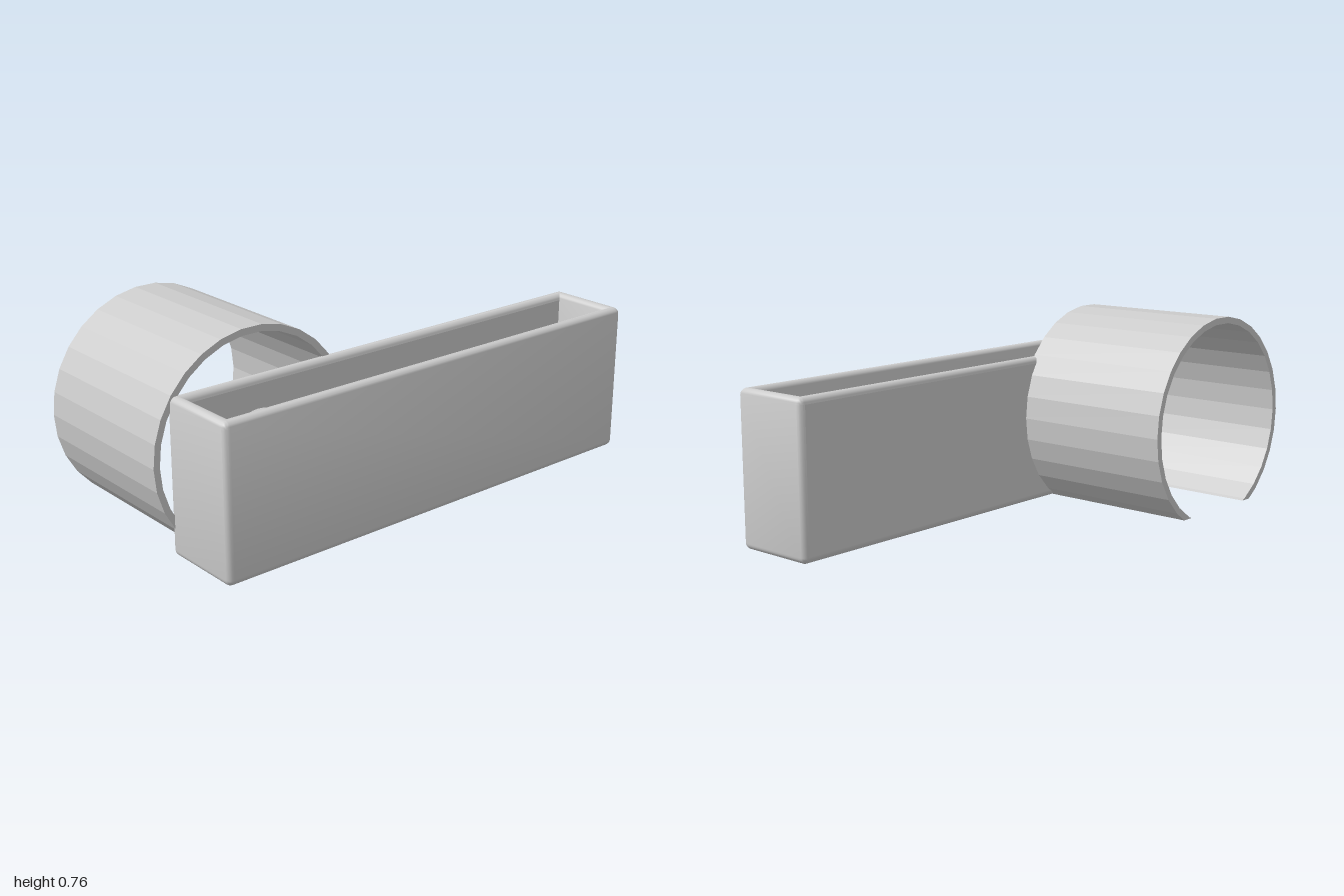
import * as THREE from 'three';
import { toCreasedNormals } from 'three/addons/utils/BufferGeometryUtils.js';

const HX = 0.9625, HZ = 0.165, H = 0.585, R = 0.025, WALL = 0.05; // trough
const RING = { x: -0.583, y: 0.346, outer: 0.417, inner: 0.392, back: -0.485, front: 0.178 };
const HOLE = { x: RING.x - 0.0375, y: 0.34, r: 0.13 };
const STEPS = 5;

// Rounded rectangle at a given inset from the outer wall; corners turn sharp once inset passes R.
function loopAt(inset, y) {
  const pts = [], rad = Math.max(R - inset, 0), m = Math.max(R, inset);
  const signs = [[1, 1], [-1, 1], [-1, -1], [1, -1]];
  signs.forEach(([sx, sz], c) => {
    for (let k = 0; k <= STEPS; k++) {
      const a = (c + k / STEPS) * Math.PI / 2;
      pts.push(new THREE.Vector3(sx * (HX - m) + rad * Math.cos(a), y, sz * (HZ - m) + rad * Math.sin(a)));
    }
  });
  return pts;
}

function troughGeometry() {
  // profile: underside, outer wall, rounded rim, inner wall, floor
  const profile = [[HZ, 0]];
  const arc = (inset, y, from, to, n) => {
    for (let k = 0; k <= n; k++) {
      const a = from + (to - from) * k / n;
      profile.push([inset - R * Math.cos(a), y + R * Math.sin(a)]);
    }
  };
  arc(R, R, -Math.PI / 2, 0, STEPS);
  arc(R, H - R, 0, Math.PI, STEPS * 2);
  profile.push([WALL, WALL], [HZ, WALL]);

  const rows = profile.map(([inset, y]) => loopAt(inset, y));
  const n = rows[0].length, backSide = 3 * (STEPS + 1) - 1, pos = [];
  const tri = (a, b, c) => {
    if (new THREE.Triangle(a, b, c).getArea() > 1e-9) for (const p of [a, b, c]) pos.push(p.x, p.y, p.z);
  };
  for (let i = 0; i < rows.length - 1; i++) {
    const isWall = Math.abs(profile[i][1] - profile[i + 1][1]) > 0.3;
    for (let j = 0; j < n; j++) {
      if (isWall && j === backSide) continue; // the back wall is pierced, added separately
      const k = (j + 1) % n;
      tri(rows[i][j], rows[i + 1][j], rows[i + 1][k]);
      tri(rows[i][j], rows[i + 1][k], rows[i][k]);
    }
  }
  const geo = new THREE.BufferGeometry();
  geo.setAttribute('position', new THREE.Float32BufferAttribute(pos, 3));
  return toCreasedNormals(geo, Math.PI / 6);
}

// Flat panel with the round hole
function panelGeometry(halfWidth, y0, y1, holeX) {
  const s = new THREE.Shape([[-halfWidth, y0], [halfWidth, y0], [halfWidth, y1], [-halfWidth, y1]]
    .map(([x, y]) => new THREE.Vector2(x, y)));
  s.holes.push(new THREE.Path().absarc(holeX, HOLE.y, HOLE.r, 0, Math.PI * 2, true));
  return new THREE.ShapeGeometry(s, 16);
}

// 30-sided arc cut off flat at ground level, running from right end to left end
function cutArc(radius) {
  const at = k => new THREE.Vector2(radius * Math.cos(k * Math.PI / 15), radius * Math.sin(k * Math.PI / 15));
  const pts = [];
  for (let k = -7; k < 22; k++) {
    const a = at(k), b = at(k + 1), floor = -RING.y;
    if (a.y > floor) pts.push(a);
    if ((a.y > floor) !== (b.y > floor)) pts.push(a.clone().lerp(b, (floor - a.y) / (b.y - a.y)));
  }
  return pts;
}

export function createModel() {
  const group = new THREE.Group();
  const smooth = new THREE.MeshStandardMaterial({ color: 0xcccccc });
  const faceted = new THREE.MeshStandardMaterial({ color: 0xcccccc, flatShading: true });
  const inside = new THREE.MeshStandardMaterial({ color: 0xcccccc, side: THREE.BackSide });
  const add = (parent, name, geo, mat) => {
    const mesh = new THREE.Mesh(geo, mat);
    mesh.name = name;
    parent.add(mesh);
    return mesh;
  };

  // Open-topped trough
  const trough = new THREE.Group();
  trough.name = 'trough';
  trough.position.set(0.0375, 0, 0.32);
  add(trough, 'troughShell', troughGeometry(), smooth);

  // Pierced back wall: outer face, inner face and hole lining
  const outer = add(trough, 'backWallOuter', panelGeometry(HX - R, R, H - R, -HOLE.x), smooth);
  outer.rotation.y = Math.PI;
  outer.position.z = -HZ;
  const inner = add(trough, 'backWallInner', panelGeometry(HX - WALL, WALL, H - R, HOLE.x), smooth);
  inner.position.z = -HZ + WALL;
  const lining = new THREE.CylinderGeometry(HOLE.r, HOLE.r, WALL, 32, 1, true).rotateX(Math.PI / 2);
  add(trough, 'holeLining', lining, inside).position.set(HOLE.x, HOLE.y, -HZ + WALL / 2);
  group.add(trough);

  // Clip ring, open at the bottom
  const section = new THREE.Shape([...cutArc(RING.outer), ...cutArc(RING.inner).reverse()]);
  const ringGeo = new THREE.ExtrudeGeometry(section, { depth: RING.front - RING.back, bevelEnabled: false });
  add(group, 'clipRing', ringGeo, faceted).position.set(RING.x, RING.y, RING.back);

  return group;
}
